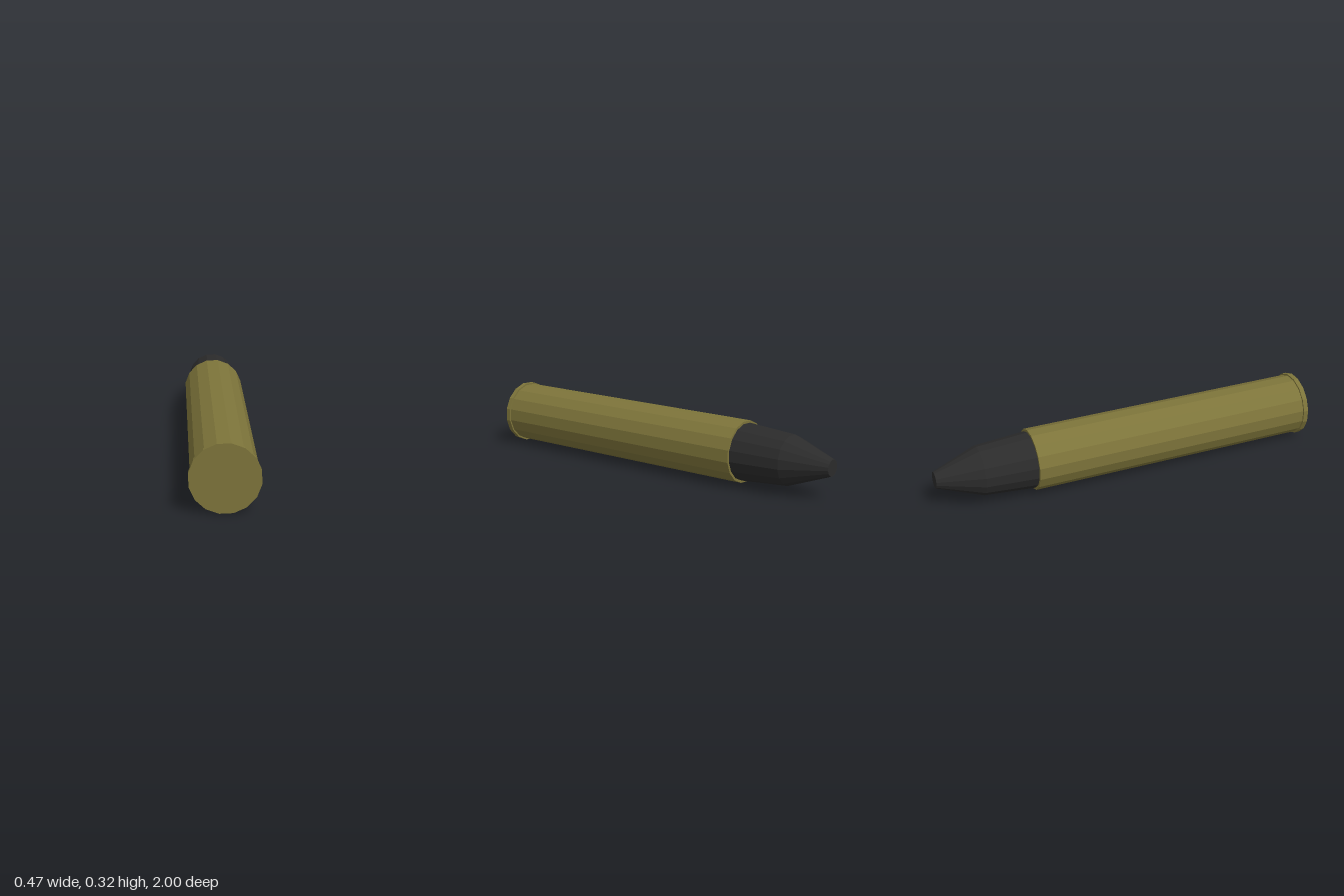
import * as THREE from 'three';

const SIDES = 16;
const ROLL = THREE.MathUtils.degToRad(-13);

// Turned part along -z from a profile of [radius, distance from the rear face]
function turned(name, profile, color) {
  const points = profile.map(([r, d]) => new THREE.Vector2(r, d));
  const geometry = new THREE.LatheGeometry(points, SIDES, ROLL);
  geometry.rotateX(-Math.PI / 2);
  const material = new THREE.MeshStandardMaterial({ color, flatShading: true });
  const mesh = new THREE.Mesh(geometry, material);
  mesh.name = name;
  return mesh;
}

export function createModel() {
  const model = new THREE.Group();
  model.name = 'cartridge';

  // Base flange, closed at the rear
  model.add(turned('rim', [[0, 0], [0.163, 0], [0.163, 0.025], [0.155, 0.025]], 0x7d743a));

  // Straight case with a flat mouth around the bullet
  model.add(turned('case', [[0.155, 0.025], [0.155, 1.503], [0.143, 1.503]], 0x7d743a));

  // Tapered bullet with a blunt tip
  model.add(turned('bullet', [[0.143, 1.503], [0.124, 1.766], [0.041, 1.99], [0, 1.99]], 0x2b2b2b));

  // Lies on its side, turned slightly off the z axis
  model.rotation.y = 0.106;
  model.position.set(0.0745, 0.163, 0.983);

  const root = new THREE.Group();
  root.add(model);
  return root;
}
